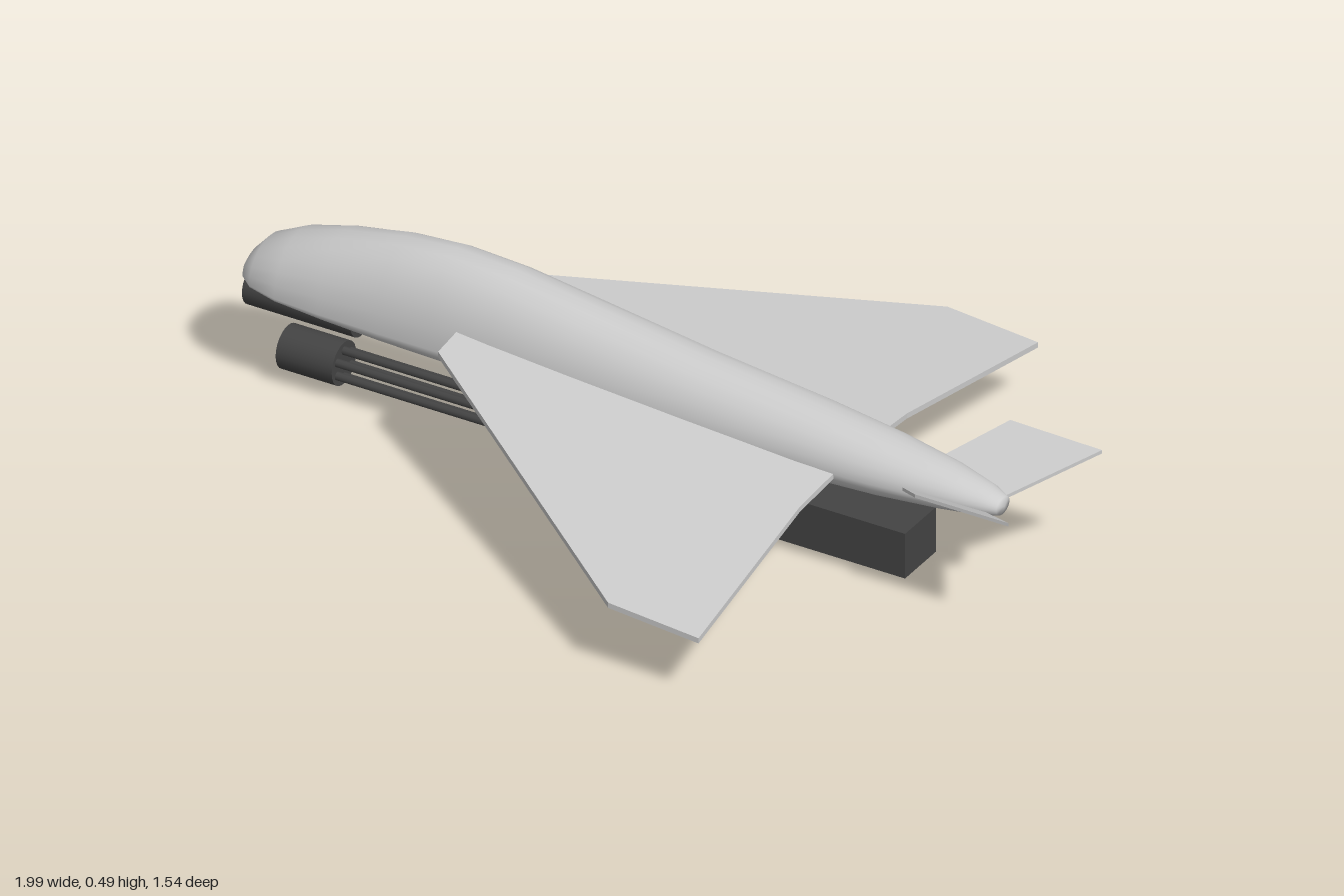
import * as THREE from 'three';

const grey = new THREE.MeshStandardMaterial({ color: 0xcccccc });
const greyThin = new THREE.MeshStandardMaterial({ color: 0xcccccc, side: THREE.DoubleSide });
const dark = new THREE.MeshStandardMaterial({ color: 0x444444 });

function add(parent, name, geometry, material, x = 0, y = 0, z = 0) {
  const mesh = new THREE.Mesh(geometry, material);
  mesh.name = name;
  mesh.position.set(x, y, z);
  parent.add(mesh);
  return mesh;
}

// Cylinder lying along the length of the aircraft (x)
const rod = (radius, length, sides = 24) =>
  new THREE.CylinderGeometry(radius, radius, length, sides).rotateZ(Math.PI / 2);

// Hull lofted from stations: [x, bottom, widest height, top, half width]
function hullGeometry() {
  const stations = [
    [-1.21, 0.27, 0.28, 0.295, 0.035],
    [-1.195, 0.265, 0.28, 0.325, 0.065],
    [-1.16, 0.255, 0.28, 0.365, 0.095],
    [-1.08, 0.245, 0.28, 0.405, 0.117],
    [-0.96, 0.235, 0.28, 0.442, 0.125],
    [-0.8, 0.222, 0.28, 0.475, 0.128],
    [-0.66, 0.214, 0.28, 0.487, 0.128],
    [-0.5, 0.207, 0.28, 0.477, 0.128],
    [-0.3, 0.2, 0.275, 0.447, 0.125],
    [0, 0.195, 0.27, 0.402, 0.118],
    [0.3, 0.193, 0.265, 0.366, 0.108],
    [0.5, 0.2, 0.26, 0.338, 0.094],
    [0.66, 0.21, 0.255, 0.31, 0.072],
    [0.76, 0.218, 0.25, 0.285, 0.048],
    [0.8, 0.226, 0.248, 0.268, 0.03],
  ];
  const n = 24, pos = [], index = [];
  for (const [x, low, mid, top, half] of stations) {
    for (let j = 0; j < n; j++) {
      const t = (j / n) * Math.PI * 2, c = Math.cos(t);
      pos.push(x, mid + c * (c > 0 ? top - mid : mid - low), Math.sin(t) * half);
    }
  }
  const last = stations.length - 1;
  for (let i = 0; i < last; i++) {
    for (let j = 0; j < n; j++) {
      const a = i * n + j, b = i * n + (j + 1) % n;
      index.push(a, b, a + n, b, b + n, a + n);
    }
  }
  // Close the nose and the tail
  const nose = pos.length / 3, tail = nose + 1;
  pos.push(-1.215, 0.28, 0, 0.805, 0.248, 0);
  for (let j = 0; j < n; j++) {
    const k = (j + 1) % n;
    index.push(nose, k, j, tail, last * n + j, last * n + k);
  }
  const g = new THREE.BufferGeometry();
  g.setAttribute('position', new THREE.Float32BufferAttribute(pos, 3));
  g.setIndex(index);
  g.computeVertexNormals();
  return g;
}

// Thin plate with outline [x, span], raised by height(x, span)
function plateGeometry(outline, side, thickness, height) {
  const shape = new THREE.Shape(outline.map(([x, w]) => new THREE.Vector2(x, w * side)));
  const g = new THREE.ExtrudeGeometry(shape, { depth: thickness, bevelEnabled: false });
  g.rotateX(Math.PI / 2);
  const p = g.attributes.position;
  for (let i = 0; i < p.count; i++) {
    p.setY(i, p.getY(i) + height(p.getX(i), Math.abs(p.getZ(i))));
  }
  g.computeVertexNormals();
  return g;
}

export function createModel() {
  const model = new THREE.Group();
  model.name = 'droneAircraft';

  // The aircraft is turned 30 degrees about the vertical
  const turned = new THREE.Group();
  turned.name = 'aircraft';
  turned.rotation.y = -Math.PI / 6;
  model.add(turned);
  const craft = new THREE.Group();
  craft.name = 'airframe';
  craft.position.z = -0.137;
  turned.add(craft);

  add(craft, 'fuselage', hullGeometry(), grey);

  // Drooping delta wings and V tail
  const wing = [[-0.59, 0], [-0.59, 0.202], [0.198, 0.762], [0.44, 0.762], [0.4, 0.24], [0.41, 0]];
  const fin = [[0.575, 0.03], [0.575, 0.075], [0.692, 0.214], [0.94, 0.21], [0.77, 0.03]];
  for (const side of [1, -1]) {
    const label = side > 0 ? 'right' : 'left';
    add(craft, label + 'Wing', plateGeometry(wing, side, 0.014,
      (x, w) => 0.335 - 0.085 * (x + 0.59) - 0.125 * (w - 0.2)), greyThin);
    const tip = side > 0 ? 0.355 : 0.332;
    add(craft, label + 'TailFin', plateGeometry(fin, side, 0.009,
      (x, w) => tip + (tip - 0.252) * (w - 0.212) / 0.16), greyThin);
  }

  // Sensor pod under the nose
  add(craft, 'nosePod', rod(0.05, 0.29), dark, -1.06, 0.222);

  // Slung gun: housing, barrel cluster, clamp disc and muzzle
  const gun = new THREE.Group();
  gun.name = 'gun';
  craft.add(gun);
  add(gun, 'gunHousing', new THREE.BoxGeometry(0.44, 0.12, 0.14), dark, 0.36, 0.08);
  for (let i = 0; i < 6; i++) {
    const t = (i / 6) * Math.PI * 2;
    add(gun, 'barrel', rod(0.0105, 1.14, 10), dark, -0.42, 0.082 + Math.cos(t) * 0.035, Math.sin(t) * 0.035);
  }
  add(gun, 'barrelClamp', rod(0.072, 0.025), dark, -0.443, 0.072);
  add(gun, 'muzzle', rod(0.055, 0.15), dark, -1.037, 0.083);

  // Struts holding the gun to the fuselage
  add(gun, 'rearStrut', new THREE.CylinderGeometry(0.026, 0.026, 0.1, 20), dark, 0.28, 0.18);
  add(gun, 'frontStrut', new THREE.CylinderGeometry(0.007, 0.007, 0.1, 12), dark, -0.443, 0.18);

  return model;
}
